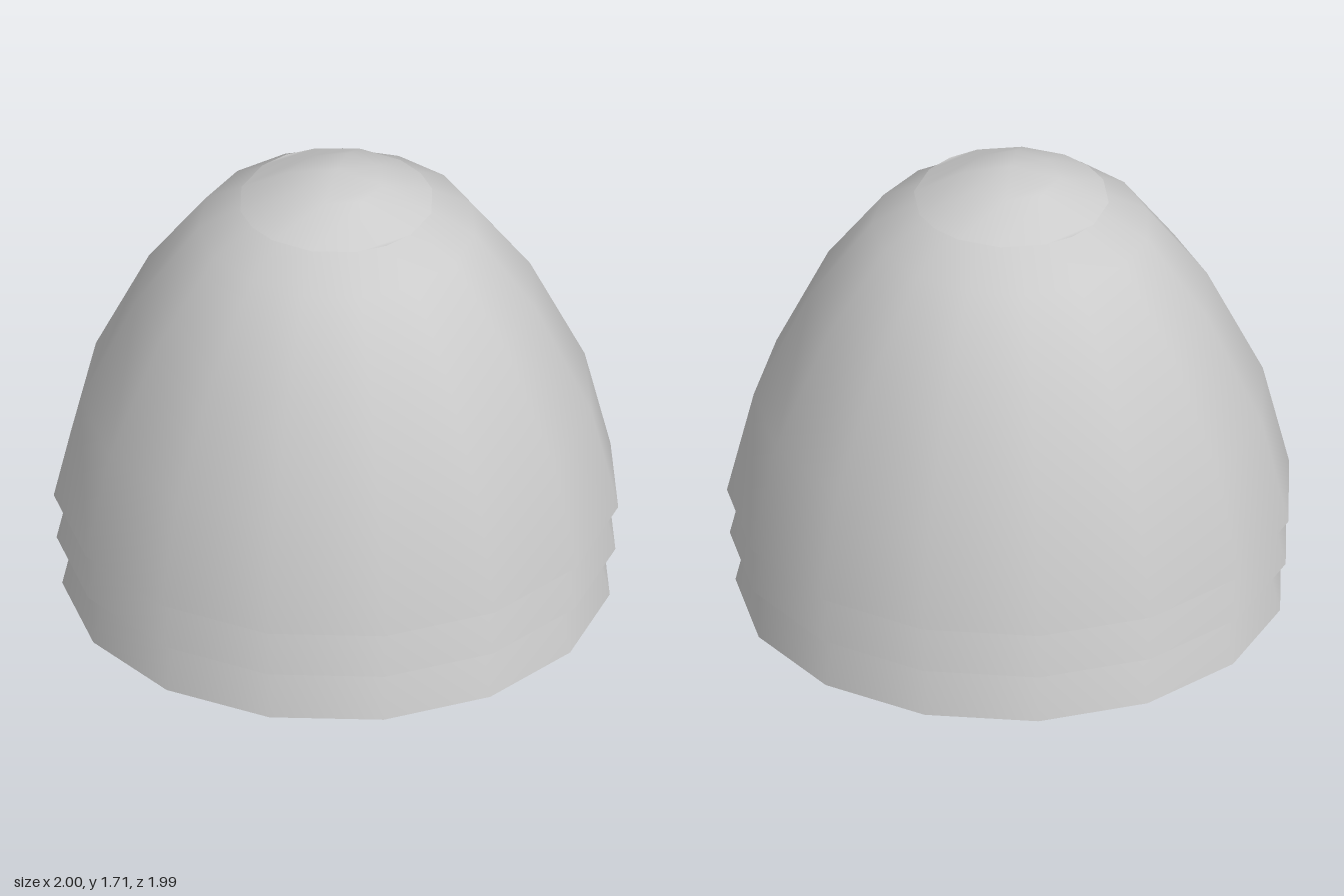
import * as THREE from 'three';

const material = new THREE.MeshStandardMaterial({ color: 0xcccccc, side: THREE.DoubleSide });

// Fifteen-sided open dome shared by all nested shells (radius, height above rim)
const domeProfile = [[1.005, 0], [0.91, 0.395], [0.709, 0.81], [0.493, 1.1], [0.25, 1.235], [0, 1.27]];

function domeShell(name, scale, rimY) {
  const points = domeProfile.map(([r, y]) => new THREE.Vector2(r * scale, y * scale));
  const mesh = new THREE.Mesh(new THREE.LatheGeometry(points, 15), material);
  mesh.name = name;
  mesh.position.set(0, rimY, -0.011 * scale);
  return mesh;
}

// Shallow round cap: a square grid pulled into concentric rings
function topCap(radius, rimY) {
  const geometry = new THREE.PlaneGeometry(2, 2, 4, 4).rotateX(-Math.PI / 2);
  const p = geometry.attributes.position;
  const heights = [0.13, 0.09, 0]; // centre, middle ring, rim
  for (let i = 0; i < p.count; i++) {
    const x = p.getX(i), z = p.getZ(i);
    const ring = Math.max(Math.abs(x), Math.abs(z));
    const length = Math.hypot(x, z) || 1;
    const k = radius * ring / length;
    p.setXYZ(i, x * k, rimY + heights[Math.round(ring * 2)], z * k);
  }
  geometry.computeVertexNormals();
  const mesh = new THREE.Mesh(geometry, material);
  mesh.name = 'topCap';
  return mesh;
}

export function createModel() {
  const group = new THREE.Group();
  group.name = 'layeredDome';
  group.add(
    domeShell('outerShell', 1, 0.37),
    domeShell('middleShell', 0.99, 0.193),
    domeShell('innerShell', 0.97, 0),
    topCap(0.347, 1.575)
  );
  return group;
}
